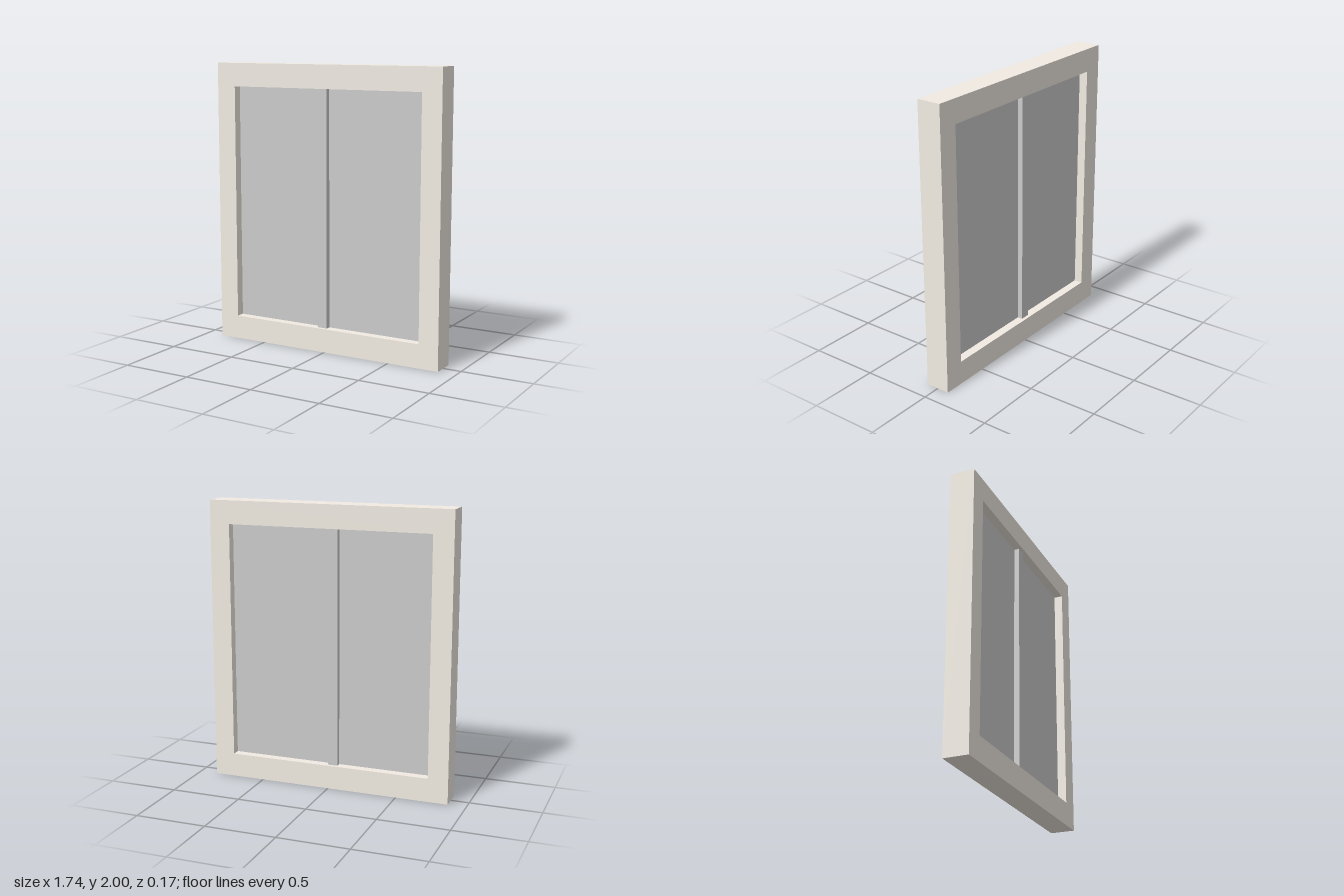
import * as THREE from 'three';

// Overall frame and its opening
const W = 1.742, H = 2, D = 0.174;
const OPEN = { x: 0.728, bottom: 0.168, top: 1.836 };

function rectangle(target, x0, y0, x1, y1) {
  target.moveTo(x0, y0);
  target.lineTo(x1, y0);
  target.lineTo(x1, y1);
  target.lineTo(x0, y1);
  target.closePath();
  return target;
}

export function createModel() {
  const group = new THREE.Group();
  group.name = 'window';
  const frameMaterial = new THREE.MeshStandardMaterial({ color: 0xf1ebe2 });
  const greyMaterial = new THREE.MeshStandardMaterial({ color: 0xcccccc });

  const add = (name, geometry, material) => {
    const mesh = new THREE.Mesh(geometry, material);
    mesh.name = name;
    group.add(mesh);
    return mesh;
  };

  // Outer frame with a rectangular opening
  const outline = rectangle(new THREE.Shape(), -W / 2, 0, W / 2, H);
  outline.holes.push(rectangle(new THREE.Path(), -OPEN.x, OPEN.bottom, OPEN.x, OPEN.top));
  const frame = new THREE.ExtrudeGeometry(outline, { depth: D, bevelEnabled: false });
  frame.translate(0, 0, -D / 2);
  add('frame', frame, frameMaterial);

  // Recessed pane and the slightly off-centre upright, visible on both faces
  const openHeight = OPEN.top - OPEN.bottom;
  const midY = (OPEN.top + OPEN.bottom) / 2;
  add('pane', new THREE.BoxGeometry(OPEN.x * 2, openHeight, 0.05), greyMaterial)
    .position.set(0, midY, 0);
  add('mullion', new THREE.BoxGeometry(0.07, openHeight, 0.125), greyMaterial)
    .position.set(-0.028, midY, 0);

  return group;
}
